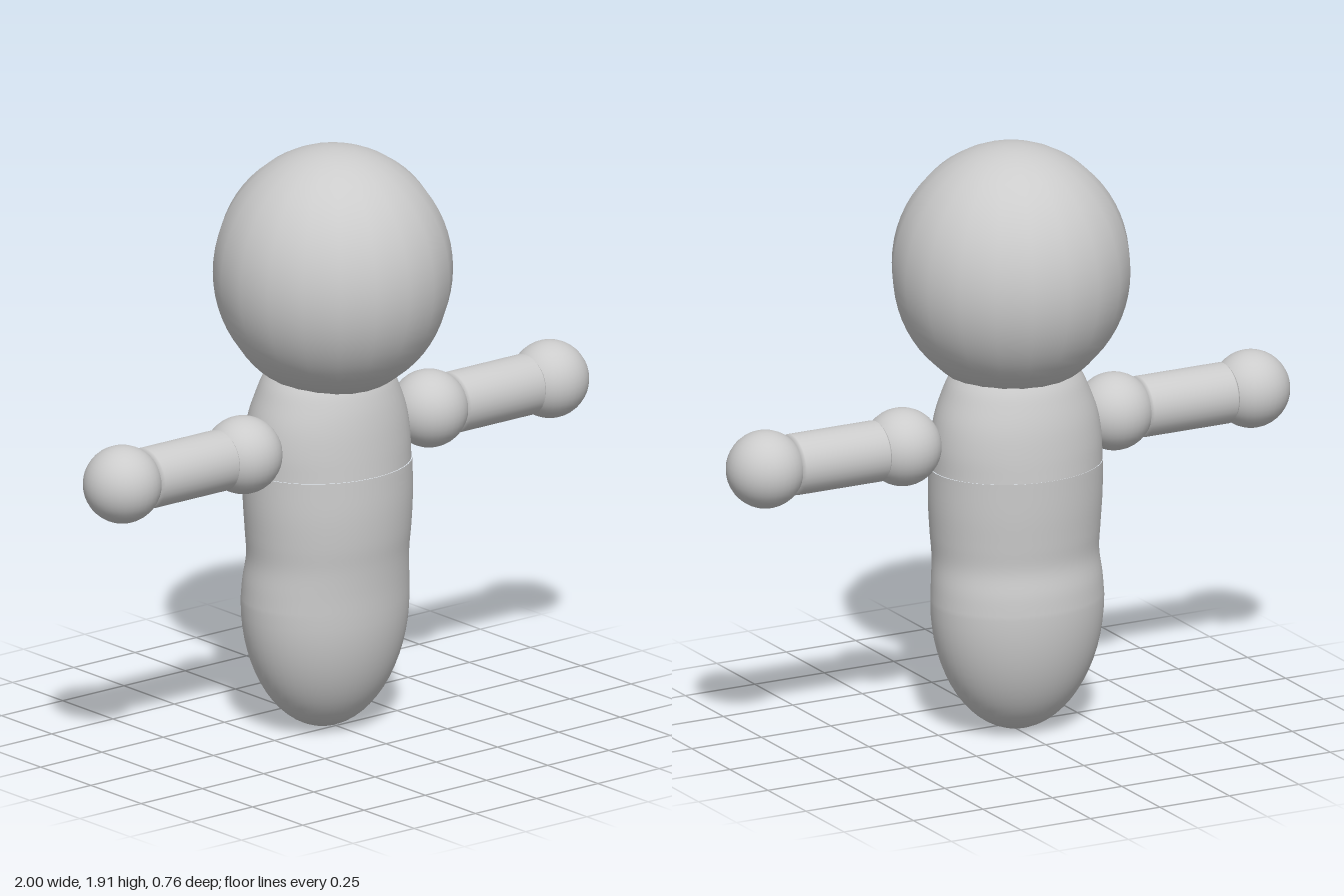
import * as THREE from 'three';

const material = new THREE.MeshStandardMaterial({ color: 0xcccccc });

function addMesh(parent, name, geometry, x = 0, y = 0, z = 0) {
  const mesh = new THREE.Mesh(geometry, material);
  mesh.name = name;
  mesh.position.set(x, y, z);
  parent.add(mesh);
  return mesh;
}

// Skin elliptical rings [y, half width, half depth, z centre] from bottom to top.
function loftEllipses(rings, sides = 48) {
  const positions = [], indices = [];
  const row = sides + 1;
  rings.forEach(([y, rx, rz, cz], j) => {
    for (let i = 0; i <= sides; i++) {
      const a = (i % sides) / sides * Math.PI * 2;
      positions.push(Math.sin(a) * rx, y, cz + Math.cos(a) * rz);
      if (j && i < sides) {
        const p = (j - 1) * row + i, q = p + row;
        indices.push(p, p + 1, q + 1, p, q + 1, q);
      }
    }
  });
  const geometry = new THREE.BufferGeometry();
  geometry.setAttribute('position', new THREE.Float32BufferAttribute(positions, 3));
  geometry.setIndex(indices);
  geometry.computeVertexNormals();
  // Blend the normals across the lengthwise seam.
  const n = geometry.attributes.normal;
  const v = new THREE.Vector3(), w = new THREE.Vector3();
  for (let j = 0; j < rings.length; j++) {
    const a = j * row, b = a + sides;
    v.fromBufferAttribute(n, a).add(w.fromBufferAttribute(n, b)).normalize();
    n.setXYZ(a, v.x, v.y, v.z);
    n.setXYZ(b, v.x, v.y, v.z);
  }
  return geometry;
}

// Smooth a few key rings into many with a spline through each value.
function smoothRings(keys, count) {
  const a = new THREE.CatmullRomCurve3(keys.map(k => new THREE.Vector3(k[1], k[0], k[2])));
  const b = new THREE.CatmullRomCurve3(keys.map(k => new THREE.Vector3(k[3], k[0], 0)));
  return Array.from({ length: count + 1 }, (_, i) => {
    const p = a.getPoint(i / count), q = b.getPoint(i / count);
    return [p.y, p.x, p.z, q.x];
  });
}

function createArm(side) {
  const arm = new THREE.Group();
  arm.name = side > 0 ? 'leftArm' : 'rightArm';
  const ball = new THREE.SphereGeometry(0.125, 32, 20);
  addMesh(arm, 'shoulder', ball, side * 0.382);
  addMesh(arm, 'hand', ball, side * 0.875);
  // Forearm rod with softly bevelled ends
  const half = 0.165, r = 0.098, bevel = 0.014;
  const profile = [[0, -half], [r - bevel, -half], [r, -half + bevel],
    [r, half - bevel], [r - bevel, half], [0, half]].map(p => new THREE.Vector2(...p));
  addMesh(arm, 'forearm', new THREE.LatheGeometry(profile, 32), side * 0.627).rotation.z = Math.PI / 2;
  arm.position.set(side < 0 ? -0.005 : -0.002, 0.98, side < 0 ? 0.01 : 0);
  return arm;
}

export function createModel() {
  const model = new THREE.Group();
  model.name = 'figure';

  // Head: slightly tall sphere
  addMesh(model, 'head', new THREE.SphereGeometry(0.38, 20, 32), -0.012, 1.515, 0)
    .scale.set(1, 0.405 / 0.38, 1);

  // Lower body: rounded bottom, slight waist, open at the chest seam
  const bottom = Array.from({ length: 16 }, (_, i) => {
    const a = i / 16 * Math.PI / 2;
    return [0.43 - 0.425 * Math.cos(a), 0.285 * Math.sin(a), 0.238 * Math.sin(a), -0.037];
  });
  const waist = smoothRings([
    [0.43, 0.285, 0.238, -0.037], [0.5, 0.281, 0.236, -0.033], [0.58, 0.274, 0.232, -0.024],
    [0.66, 0.279, 0.238, -0.022], [0.76, 0.285, 0.243, -0.023], [0.88, 0.286, 0.243, -0.026],
  ], 24);
  addMesh(model, 'lowerBody', loftEllipses([...bottom, ...waist]), -0.014);

  // Chest: tapers into the head
  const chest = smoothRings([
    [0.88, 0.283, 0.241, -0.027], [0.96, 0.281, 0.235, -0.027], [1.04, 0.268, 0.225, -0.026],
    [1.11, 0.243, 0.209, -0.024], [1.17, 0.214, 0.187, -0.023], [1.24, 0.15, 0.135, -0.022],
    [1.28, 0.002, 0.002, -0.022],
  ], 28);
  addMesh(model, 'chest', loftEllipses(chest), -0.014);

  for (const side of [1, -1]) model.add(createArm(side));
  return model;
}
